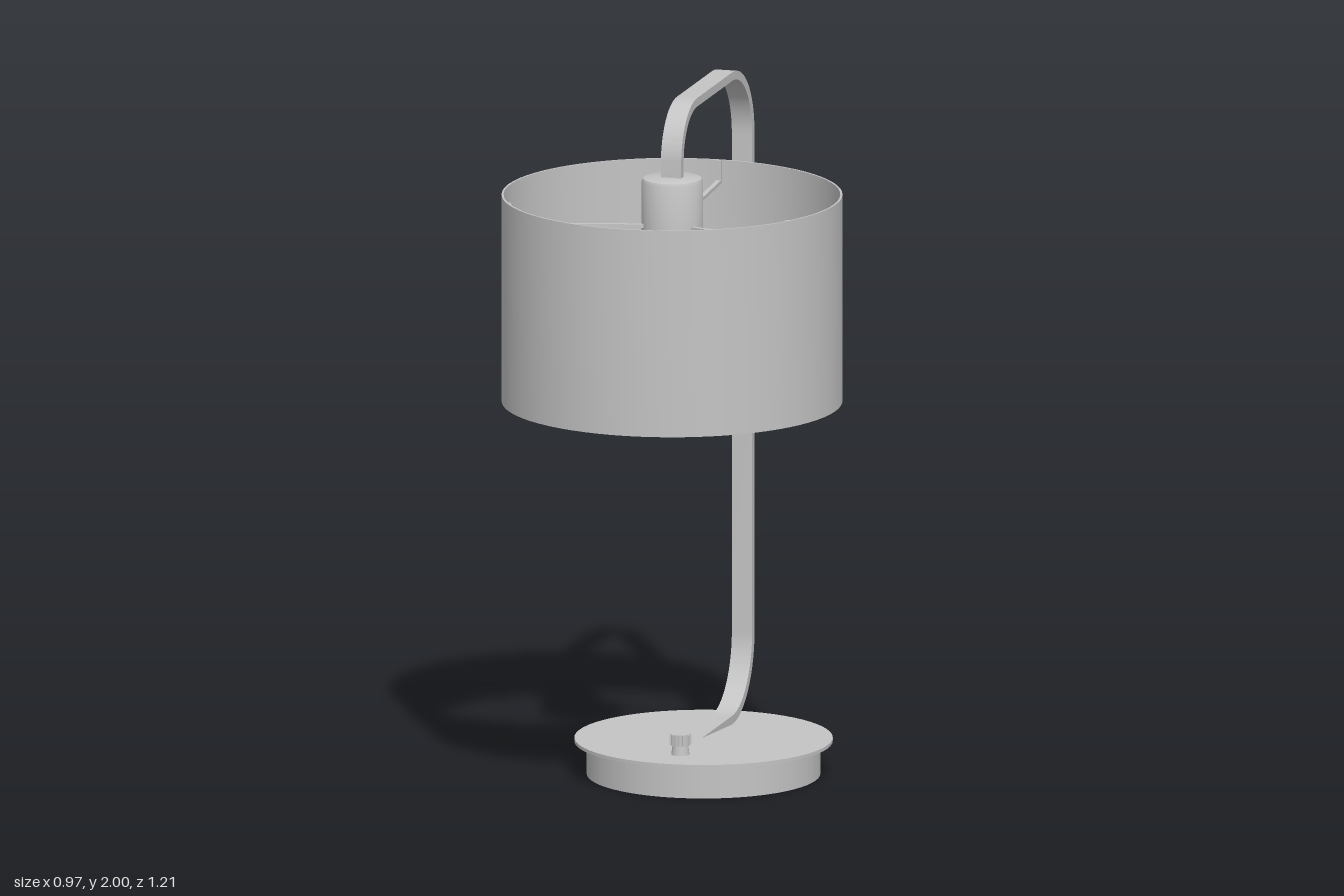
import * as THREE from 'three';
import { toCreasedNormals } from 'three/addons/utils/BufferGeometryUtils.js';

const SHADE_Z = 0.12; // axis of shade, socket and bulb
const BASE_Z = -0.198;

export function createModel() {
  const model = new THREE.Group();
  const grey = new THREE.MeshStandardMaterial({ color: 0xc4c4c4 });
  grey.name = 'light grey';

  const add = (name, geometry, x = 0, y = 0, z = 0, parent = model) => {
    const mesh = new THREE.Mesh(geometry, grey);
    mesh.name = name;
    mesh.position.set(x, y, z);
    parent.add(mesh);
    return mesh;
  };
  const lathe = (points, segments = 64) => toCreasedNormals(
    new THREE.LatheGeometry(points.map(([r, y]) => new THREE.Vector2(r, y)), segments), 0.6);

  // Base: drum with a thin overhanging plate
  add('baseDrum', new THREE.CylinderGeometry(0.332, 0.332, 0.095, 64), 0, 0.0475, BASE_Z);
  add('basePlate', new THREE.CylinderGeometry(0.367, 0.367, 0.01, 64), 0, 0.1, BASE_Z);

  // Stand: flat bar bent in the z-y plane, drawn as outer then inner outline
  const s = new THREE.Shape();
  const H = Math.PI / 2;
  s.moveTo(-0.075, 0.105);
  s.absarc(-0.385, 0.33, 0.225, -H, -2 * H, true);
  s.absarc(-0.385, 1.775, 0.225, 2 * H, H, true);
  s.absarc(-0.03, 1.84, 0.16, H, 0, true);
  s.lineTo(0.13, 1.79);
  s.lineTo(0.105, 1.79);
  s.absarc(-0.03, 1.84, 0.135, 0, H, false);
  s.absarc(-0.385, 1.775, 0.2, H, 2 * H, false);
  s.absarc(-0.385, 0.33, 0.2, -2 * H, -H, false);
  s.lineTo(-0.075, 0.13);
  const bar = new THREE.ExtrudeGeometry(s, { depth: 0.06, bevelEnabled: false, curveSegments: 14 });
  bar.rotateY(-H);
  bar.translate(0.03, 0, 0);
  add('stand', toCreasedNormals(bar, 0.6));

  // Shade: thin open drum
  add('shade', lathe([[0.478, 1.15], [0.484, 1.15], [0.484, 1.75], [0.478, 1.75], [0.478, 1.15]], 72),
    0, 0, SHADE_Z);

  // Socket with softened edges
  add('socket', lathe([[0, 1.6], [0.08, 1.6], [0.087, 1.607], [0.087, 1.788],
    [0.083, 1.797], [0.075, 1.8], [0, 1.8]], 40), 0, 0, SHADE_Z - 0.003);

  // Bulb: neck flaring into a round globe
  const bulb = [[0, 1.28]];
  for (let i = 1; i <= 14; i++) {
    const a = -H + (i / 14) * (H + 0.45);
    bulb.push([0.12 * Math.cos(a), 1.4 + 0.12 * Math.sin(a)]);
  }
  bulb.push([0.095, 1.495], [0.08, 1.535], [0.069, 1.57], [0.065, 1.605]);
  add('bulb', lathe(bulb, 40), 0, 0, SHADE_Z - 0.003);

  // Three spokes, each with an upright tab against the shade
  for (let i = 0; i < 3; i++) {
    const spoke = new THREE.Group();
    spoke.name = 'spoke' + (i + 1);
    spoke.position.z = SHADE_Z;
    spoke.rotation.y = Math.PI + i * 2 * Math.PI / 3;
    const rod = add('spokeRod', new THREE.BoxGeometry(0.014, 0.01, 0.41), 0, 1.675, 0.275, spoke);
    rod.rotation.x = -0.06;
    add('spokeTab', new THREE.BoxGeometry(0.014, 0.065, 0.008), 0, 1.717, 0.475, spoke);
    model.add(spoke);
  }

  // Switch knob: narrow stem, ribbed cap
  const knob = new THREE.Group();
  knob.name = 'switchKnob';
  knob.position.z = 0.035;
  add('knobStem', new THREE.CylinderGeometry(0.022, 0.026, 0.03, 24), 0, 0.12, 0, knob);
  add('knobCap', new THREE.CylinderGeometry(0.028, 0.028, 0.032, 24), 0, 0.149, 0, knob);
  for (let i = 0; i < 10; i++) {
    const a = i * Math.PI / 5;
    const rib = add('knobRib', new THREE.BoxGeometry(0.007, 0.03, 0.006),
      0.028 * Math.sin(a), 0.149, 0.028 * Math.cos(a), knob);
    rib.rotation.y = a;
  }
  model.add(knob);

  return model;
}
